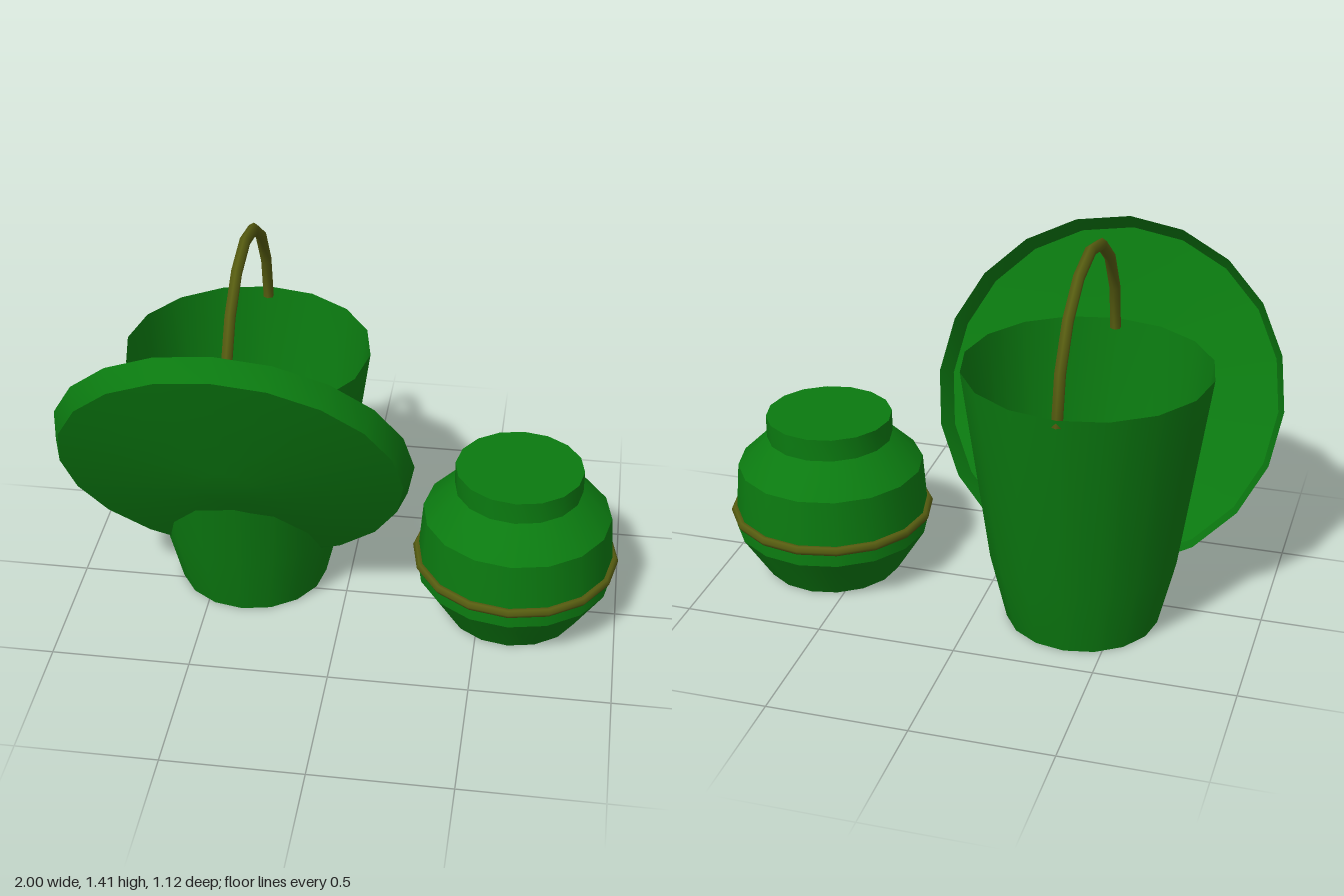
import * as THREE from 'three';
import { toCreasedNormals } from 'three/addons/utils/BufferGeometryUtils.js';

const green = new THREE.MeshStandardMaterial({ color: 0x0b7a10, side: THREE.DoubleSide });
const olive = new THREE.MeshStandardMaterial({ color: 0x565c10 });

// Turned shell from [radius, height] pairs, smooth around and sharp at profile corners
function turned(name, profile, sides) {
  const points = profile.map(([r, y]) => new THREE.Vector2(r, y));
  const mesh = new THREE.Mesh(toCreasedNormals(new THREE.LatheGeometry(points, sides), 0.45), green);
  mesh.name = name;
  return mesh;
}

export function createModel() {
  const model = new THREE.Group();

  // Open bucket with an arched handle
  const bucket = new THREE.Group();
  bucket.name = 'bucket';
  bucket.position.set(-0.37, 0, -0.117);
  bucket.add(turned('bucketShell', [[0, 0], [0.275, 0], [0.335, 0.25], [0.438, 0.97]], 16));
  const handle = new THREE.Mesh(new THREE.TorusGeometry(0.42, 0.02, 6, 8, Math.PI), olive);
  handle.name = 'bucketHandle';
  handle.rotation.y = Math.PI / 2;
  handle.scale.y = 1.07;
  handle.position.y = 0.94;
  bucket.add(handle);
  model.add(bucket);

  // Shallow conical lid, hollow at the back, leaning through the bucket's front
  const lid = turned('leaningLid', [[0.635, 0], [0.605, 0.083], [0.105, 0.145], [0, 0.145]], 20);
  lid.position.set(-0.37, 0.73, 0.21);
  lid.rotation.x = 2.044;
  model.add(lid);

  // Jar with a raised cap and a band round its belly
  const jar = new THREE.Group();
  jar.name = 'jar';
  jar.position.set(0.62, 0, -0.013);
  jar.add(turned('jarBody', [[0, 0], [0.25, 0], [0.357, 0.17], [0.355, 0.23], [0.34, 0.42], [0.235, 0.522], [0.2, 0.54]], 16));
  jar.add(turned('jarCap', [[0, 0.53], [0.23, 0.53], [0.23, 0.613], [0, 0.613]], 16));
  const band = new THREE.Mesh(new THREE.TorusGeometry(0.357, 0.018, 6, 16), olive);
  band.name = 'jarBand';
  band.rotation.x = Math.PI / 2;
  band.position.y = 0.235;
  jar.add(band);
  model.add(jar);

  return model;
}
